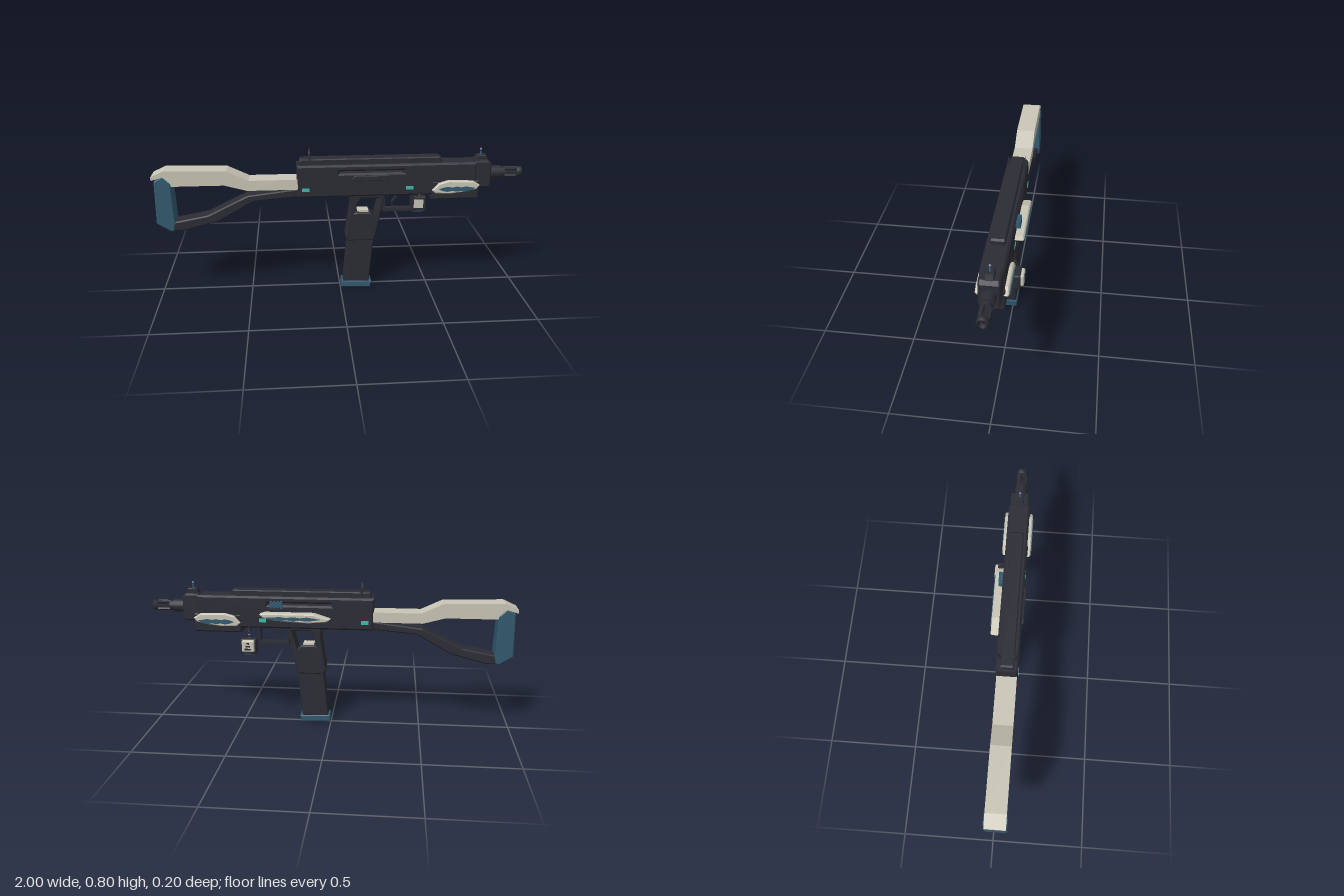
import * as THREE from 'three';
import { RoundedBoxGeometry } from 'three/addons/geometries/RoundedBoxGeometry.js';

const ZC = 0.02; // centre plane of the body
const mat = (name, color) => Object.assign(new THREE.MeshStandardMaterial({ color }), { name });

export function createModel() {
  const model = new THREE.Group();
  model.name = 'stockedBlaster';
  const dark = mat('charcoal', 0x2c2c35);
  const cream = mat('cream', 0xc9c6b6);
  const blue = mat('slateBlue', 0x335a70);
  const mint = mat('mint', 0x45b9aa);
  const lilac = mat('lilac', 0x8a80c0);

  const add = (name, geo, material, x = 0, y = 0, z = 0) => {
    const m = new THREE.Mesh(geo, material);
    m.name = name;
    m.position.set(x, y, z);
    model.add(m);
    return m;
  };
  const toV = (pts) => pts.map(([x, y]) => new THREE.Vector2(x, y));
  // Side outline extruded to z0..z1 with chamfered edges
  const slab = (name, pts, z0, z1, bevel, material, holes = []) => {
    const shape = new THREE.Shape(toV(pts));
    holes.forEach((h) => shape.holes.push(new THREE.Path(toV(h))));
    const geo = new THREE.ExtrudeGeometry(shape, {
      depth: z1 - z0 - 2 * bevel, bevelEnabled: bevel > 0, bevelThickness: bevel,
      bevelSize: bevel, bevelOffset: -bevel, bevelSegments: 1, curveSegments: 6,
    });
    return add(name, geo, material, 0, 0, z0 + bevel);
  };
  const mid = (name, pts, half, bevel, material, holes) =>
    slab(name, pts, ZC - half, ZC + half, bevel, material, holes);
  const rect = (x0, x1, y0, y1) => [[x0, y0], [x1, y0], [x1, y1], [x0, y1]];
  const box = (name, x0, x1, y0, y1, z0, z1, material) =>
    add(name, new THREE.BoxGeometry(x1 - x0, y1 - y0, z1 - z0), material,
      (x0 + x1) / 2, (y0 + y1) / 2, (z0 + z1) / 2);

  // Receiver with a slot passing through it
  mid('receiver', rect(-0.235, 0.74, 0.555, 0.733), 0.058, 0.01, dark, [rect(-0.005, 0.345, 0.686, 0.698)]);
  mid('topCover', [[-0.22, 0.725], [0.55, 0.725], [0.55, 0.755], [0.54, 0.763], [-0.21, 0.763], [-0.22, 0.755]], 0.036, 0.005, dark);
  mid('frontBlock', [[0.73, 0.588], [0.81, 0.588], [0.822, 0.6], [0.822, 0.72], [0.805, 0.738], [0.73, 0.738]], 0.051, 0.008, dark);
  mid('handguard', rect(0.495, 0.757, 0.528, 0.632), 0.062, 0.008, dark);
  slab('sidePlate', [[0.06, 0.658], [0.075, 0.645], [0.245, 0.645], [0.262, 0.66], [0.262, 0.675], [0.075, 0.675]], 0.07, 0.088, 0.003, dark);
  box('slotPin', 0.335, 0.345, 0.686, 0.698, 0.0, 0.082, dark);

  // Status lights on both sides
  for (const x of [-0.187, 0.375]) {
    for (const s of [-1, 1]) {
      add('statusLight', new THREE.BoxGeometry(0.04, 0.02, 0.005), mint, x, 0.6, ZC + s * 0.0585);
    }
  }

  // Barrel and slotted muzzle
  const turned = (name, r, x0, x1) => {
    const m = add(name, new THREE.CylinderGeometry(r, r, x1 - x0, 16), dark, (x0 + x1) / 2, 0.661, ZC);
    m.rotation.z = -Math.PI / 2;
  };
  turned('barrelCollar', 0.036, 0.815, 0.882);
  turned('muzzleBase', 0.029, 0.88, 0.905);
  const ring = add('muzzleRing', new THREE.LatheGeometry(
    toV([[0.017, 0], [0.029, 0], [0.029, 0.025], [0.017, 0.025], [0.017, 0]]), 16), dark, 0.975, 0.661, ZC);
  ring.rotation.z = -Math.PI / 2;
  for (let i = 0; i < 6; i++) {
    const a = (i * Math.PI) / 3;
    const bar = add('muzzleBar', new THREE.BoxGeometry(0.08, 0.015, 0.01), dark,
      0.94, 0.661 + Math.sin(a) * 0.0225, ZC + Math.cos(a) * 0.0225);
    bar.rotation.x = -a;
  }

  // Front sight
  mid('frontSightBase', [[0.735, 0.73], [0.81, 0.73], [0.795, 0.763], [0.745, 0.763]], 0.022, 0.004, dark);
  add('frontSightPost', new THREE.CylinderGeometry(0.002, 0.007, 0.03, 8), blue, 0.77, 0.776, ZC);
  add('frontSightBead', new THREE.SphereGeometry(0.006, 12, 8), lilac, 0.77, 0.793, ZC);

  // Rear sight: two curved ears
  const ears = new THREE.Shape();
  ears.moveTo(-0.048, 0.725);
  ears.lineTo(0.048, 0.725);
  ears.lineTo(0.048, 0.803);
  ears.quadraticCurveTo(0.044, 0.768, 0.026, 0.765);
  ears.lineTo(-0.026, 0.765);
  ears.quadraticCurveTo(-0.044, 0.768, -0.048, 0.803);
  const earGeo = new THREE.ExtrudeGeometry(ears, { depth: 0.01, bevelEnabled: false });
  add('rearSight', earGeo, dark, -0.17, 0, ZC).rotation.y = Math.PI / 2;

  // Skeleton stock
  mid('stockTop', [[-1, 0.67], [-0.94, 0.687], [-0.9, 0.635], [-0.62, 0.635], [-0.5, 0.602], [-0.23, 0.602],
    [-0.23, 0.658], [-0.49, 0.658], [-0.605, 0.713], [-0.93, 0.722], [-1, 0.69]], 0.053, 0, cream);
  mid('stockStrut', [[-0.925, 0.38], [-0.845, 0.382], [-0.66, 0.43], [-0.47, 0.537], [-0.23, 0.558],
    [-0.23, 0.602], [-0.5, 0.57], [-0.72, 0.463], [-0.9, 0.43]], 0.046, 0.006, dark);
  mid('buttPad', [[-0.985, 0.665], [-0.99, 0.43], [-0.915, 0.382], [-0.9, 0.388], [-0.892, 0.43],
    [-0.9, 0.65], [-0.94, 0.688]], 0.059, 0.004, blue);

  // Grip with an opening, magazine and its foot
  mid('grip', [[0.05, 0.56], [0.055, 0.5], [0.028, 0.32], [0.04, 0.292], [0.185, 0.292], [0.197, 0.33], [0.245, 0.56]],
    0.046, 0.006, dark,
    [[[0.115, 0.54], [0.092, 0.51], [0.075, 0.45], [0.09, 0.458], [0.165, 0.455], [0.187, 0.435], [0.217, 0.54]]]);
  box('gripInsert', 0.095, 0.155, 0.452, 0.466, ZC - 0.03, ZC + 0.03, cream);
  mid('magazine', [[0.016, 0.035], [0.162, 0.035], [0.186, 0.3], [0.04, 0.3]], 0.037, 0.005, dark);
  mid('magazineFoot', [[0.004, 0.007], [0.17, 0], [0.176, 0.036], [0.008, 0.042]], 0.042, 0.004, blue);

  // Trigger and guard
  mid('triggerGuard', [[0.235, 0.453], [0.395, 0.453], [0.407, 0.465], [0.41, 0.56], [0.398, 0.56], [0.395, 0.468],
    [0.247, 0.468], [0.247, 0.56], [0.235, 0.56]], 0.023, 0, dark);
  mid('trigger', [[0.29, 0.56], [0.302, 0.53], [0.282, 0.502], [0.29, 0.5], [0.312, 0.53], [0.31, 0.56]], 0.009, 0, dark);

  // Cream leaf panels with jagged blue inlays
  const leaf = (name, outline, inlay, inner, outer) => {
    const s = Math.sign(outer - inner);
    slab(name, outline, Math.min(inner, outer), Math.max(inner, outer), 0.006, cream);
    const [x0, x1, y0, y1] = inlay;
    const n = 8;
    const teeth = [[x0, (y0 + y1) / 2]];
    for (let i = 1; i < n; i++) teeth.push([x0 + ((x1 - x0) * i) / n, y0 + (i % 2) * 0.005]);
    teeth.push([x1, (y0 + y1) / 2 + 0.005]);
    for (let i = n - 1; i > 0; i--) teeth.push([x0 + ((x1 - x0) * i) / n, y1 - (i % 2) * 0.005]);
    const z = outer + s * 0.001;
    slab(name + 'Inlay', teeth, z - 0.003, z + 0.003, 0, blue);
  };
  const guardLeaf = [[0.497, 0.585], [0.515, 0.568], [0.6, 0.565], [0.68, 0.575], [0.74, 0.588], [0.757, 0.61],
    [0.72, 0.633], [0.585, 0.638], [0.53, 0.623]];
  leaf('guardPanelLeft', guardLeaf, [0.53, 0.73, 0.578, 0.606], 0.07, 0.098);
  leaf('guardPanelRight', guardLeaf, [0.53, 0.73, 0.578, 0.606], -0.03, -0.058);
  leaf('rearSidePanel', [[0.0, 0.622], [0.02, 0.608], [0.12, 0.6], [0.3, 0.61], [0.365, 0.625], [0.385, 0.642],
    [0.36, 0.65], [0.09, 0.65]], [0.05, 0.35, 0.612, 0.634], -0.03, -0.083);

  // Ribbed charging handle
  box('chargingHandle', 0.265, 0.325, 0.68, 0.705, -0.055, -0.036, blue);
  for (let i = 0; i < 4; i++) {
    const x = 0.262 + i * 0.019;
    box('handleRib', x, x + 0.011, 0.674, 0.711, -0.061, -0.036, blue);
  }

  // Hanging charm
  add('charmBody', new RoundedBoxGeometry(0.092, 0.088, 0.04, 2, 0.01), dark, 0.45, 0.46, -0.061);
  box('charmBase', 0.414, 0.486, 0.414, 0.419, -0.077, -0.045, blue);
  add('charmFace', new RoundedBoxGeometry(0.07, 0.066, 0.03, 2, 0.008), cream, 0.45, 0.465, -0.082);
  box('charmFrontPlate', 0.422, 0.478, 0.437, 0.487, -0.043, -0.038, cream);
  for (const [x, y, w] of [[0.45, 0.482, 0.014], [0.45, 0.465, 0.026], [0.45, 0.448, 0.036]]) {
    box('charmMark', x - w / 2, x + w / 2, y - 0.005, y + 0.005, -0.1, -0.095, dark);
  }
  for (let i = 0; i < 2; i++) {
    const link = add('charmLink', new THREE.TorusGeometry(0.012, 0.003, 6, 12), dark, 0.45, 0.515 + i * 0.025, -0.05);
    link.rotation.y = (i * Math.PI) / 2;
  }
  add('charmBead', new THREE.SphereGeometry(0.007, 12, 8), lilac, 0.45, 0.521, -0.046);
  box('charmHook', 0.443, 0.457, 0.545, 0.562, -0.056, -0.03, dark);

  return model;
}
